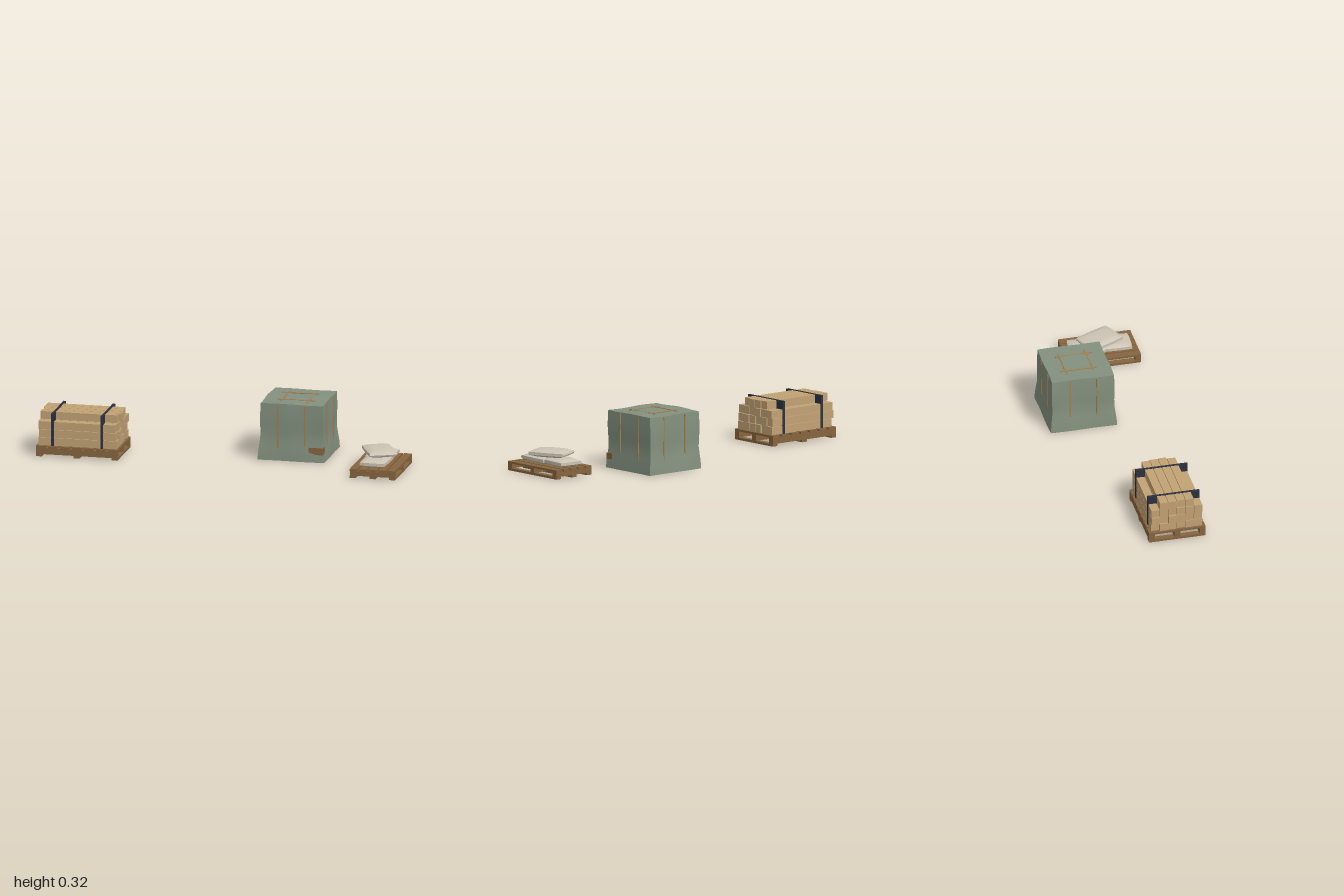
import * as THREE from 'three';
import { mergeVertices, toCreasedNormals } from 'three/addons/utils/BufferGeometryUtils.js';

const paint = (name, color) => {
  const m = new THREE.MeshStandardMaterial({ color });
  m.name = name;
  return m;
};

export function createModel() {
  const model = new THREE.Group();
  model.name = 'cargoStacks';
  const palletWood = paint('palletWood', 0x86653f);
  const lumberWood = paint('lumberWood', 0xc2a274);
  const strapNavy = paint('strapNavy', 0x2b3140);
  const tarpGreen = paint('tarpGreen', 0x84917f);
  const ropeTan = paint('ropeTan', 0xa3804f);
  const sackCloth = paint('sackCloth', 0xccc3b3);

  let seed = 7;
  const jitter = (a) => {
    seed = (seed * 16807) % 2147483647;
    return (seed / 2147483647 * 2 - 1) * a;
  };

  const group = (name) => {
    const g = new THREE.Group();
    g.name = name;
    model.add(g);
    return g;
  };
  const add = (parent, name, geometry, material, x, y, z) => {
    const mesh = new THREE.Mesh(geometry, material);
    mesh.name = name;
    mesh.position.set(x, y, z);
    parent.add(mesh);
    return mesh;
  };
  const box = (parent, name, material, w, h, d, x, y, z) =>
    add(parent, name, new THREE.BoxGeometry(w, h, d), material, x, y, z);

  // Pallet: three skids along z, three stringers along x, deck boards along z
  const pallet = (name, x, z, w, d, h, boards, gap) => {
    const g = group(name);
    const skid = 0.013, deck = 0.011, beam = h - skid - deck;
    for (const s of [-1, 0, 1]) {
      box(g, 'skid', palletWood, 0.033, skid, d, x + s * (w - 0.033) / 2, skid / 2, z);
      box(g, 'stringer', palletWood, w - 0.002, beam, 0.032, x, skid + beam / 2, z + s * (d - 0.032) / 2);
    }
    const bw = (w - gap * (boards - 1)) / boards;
    for (let i = 0; i < boards; i++) {
      box(g, 'deckBoard', palletWood, bw, deck, d, x - w / 2 + bw / 2 + i * (bw + gap), h - deck / 2, z);
    }
  };
  pallet('lumberPallet', -0.775, 0.0925, 0.45, 0.312, 0.058, 7, 0.014);
  pallet('sackPallet', 0.875, 0.12, 0.25, 0.4, 0.05, 5, 0.008);

  // Lumber: four layers of six beams, the top layer without its outer two
  const lumber = group('lumberStack');
  const pitchY = 0.0445, pitchZ = 0.0472;
  for (let row = 0; row < 4; row++) {
    for (let col = 0; col < 6; col++) {
      if (row === 3 && (col === 0 || col === 5)) continue;
      box(lumber, 'beam', lumberWood, 0.428 + jitter(0.006), 0.0425, 0.0445,
        -0.775 + jitter(0.007), 0.058 + (row + 0.5) * pitchY, 0.0925 + (col - 2.5) * pitchZ);
    }
  }
  for (const s of [-1, 1]) {
    box(lumber, 'strap', strapNavy, 0.014, 0.179, 0.287, -0.775 + s * 0.136, 0.1475, 0.0925);
  }

  // Covered crate: a box of cloth, flared at the hem and slightly wavy
  const crate = group('coveredCrate');
  const cx = 0.36, cz = -0.137;
  let cloth = new THREE.BoxGeometry(0.345, 0.314, 0.345, 8, 8, 8);
  const p = cloth.attributes.position;
  for (let i = 0; i < p.count; i++) {
    const x = p.getX(i), y = Math.max(0, p.getY(i) + 0.157), z = p.getZ(i);
    const hem = Math.max(0, 1 - y / 0.12);
    const k = 1 + 0.055 * hem + 0.008 * Math.sin(y * 32 + 0.5);
    const wave = 0.0015 * Math.sin(x * 22 + z * 17);
    const top = y > 0.3 ? 0.0015 * Math.cos(z * 22) + wave - 0.001 : 0;
    p.setXYZ(i, x * k + 0.0015 * Math.sin(z * 25 + y * 14), y + top, z * k + 0.0015 * Math.sin(x * 25 + y * 11));
  }
  cloth.deleteAttribute('uv');
  cloth.deleteAttribute('normal');
  cloth = toCreasedNormals(cloth, 0.7);
  add(crate, 'tarp', cloth, tarpGreen, cx, 0, cz);
  for (const s of [-1, 1]) {
    for (const t of [-1, 1]) {
      // ropes down the four sides
      box(crate, 'sideRope', ropeTan, 0.007, 0.265, 0.008, cx + t * 0.074, 0.172, cz + s * 0.172);
      box(crate, 'sideRope', ropeTan, 0.008, 0.265, 0.007, cx + s * 0.172, 0.172, cz + t * 0.074);
    }
    // crossed ropes on top
    box(crate, 'topRope', ropeTan, 0.205, 0.006, 0.008, cx + s * 0.006, 0.313, cz + s * 0.074);
    box(crate, 'topRope', ropeTan, 0.008, 0.006, 0.205, cx + s * 0.074, 0.313, cz + s * 0.006);
  }
  // wooden corner showing through the cover
  box(crate, 'exposedCorner', palletWood, 0.081, 0.038, 0.045, 0.4975, 0.061, 0.0195);

  // Sacks: pillows, thick in the middle and thin at the rim
  const sacks = group('sacks');
  const sack = (w, h, d, x, y, z, turn) => {
    let g = new THREE.BoxGeometry(w, h, d, 8, 2, 10);
    const q = g.attributes.position;
    for (let i = 0; i < q.count; i++) {
      const u = Math.min(1, Math.abs(q.getX(i)) / w * 2);
      const v = Math.min(1, Math.abs(q.getZ(i)) / d * 2);
      const puff = 0.4 + 0.6 * Math.sqrt((1 - u ** 4) * (1 - v ** 3));
      const side = Math.abs(q.getY(i)) < 1e-5 ? 1 : 0.97;
      q.setXYZ(i, q.getX(i) * side * (1 - 0.05 * v * v), q.getY(i) * puff, q.getZ(i) * side * (1 - 0.04 * u * u));
    }
    g.deleteAttribute('uv');
    g.deleteAttribute('normal');
    g = toCreasedNormals(mergeVertices(g), 0.75);
    add(sacks, 'sack', g, sackCloth, x, y, z).rotation.y = turn;
  };
  sack(0.145, 0.041, 0.2, 0.868, 0.07, 0.19, -0.05);
  sack(0.145, 0.041, 0.2, 0.864, 0.07, 0.042, -0.08);
  sack(0.158, 0.04, 0.215, 0.866, 0.108, 0.118, 0.44);

  return model;
}
